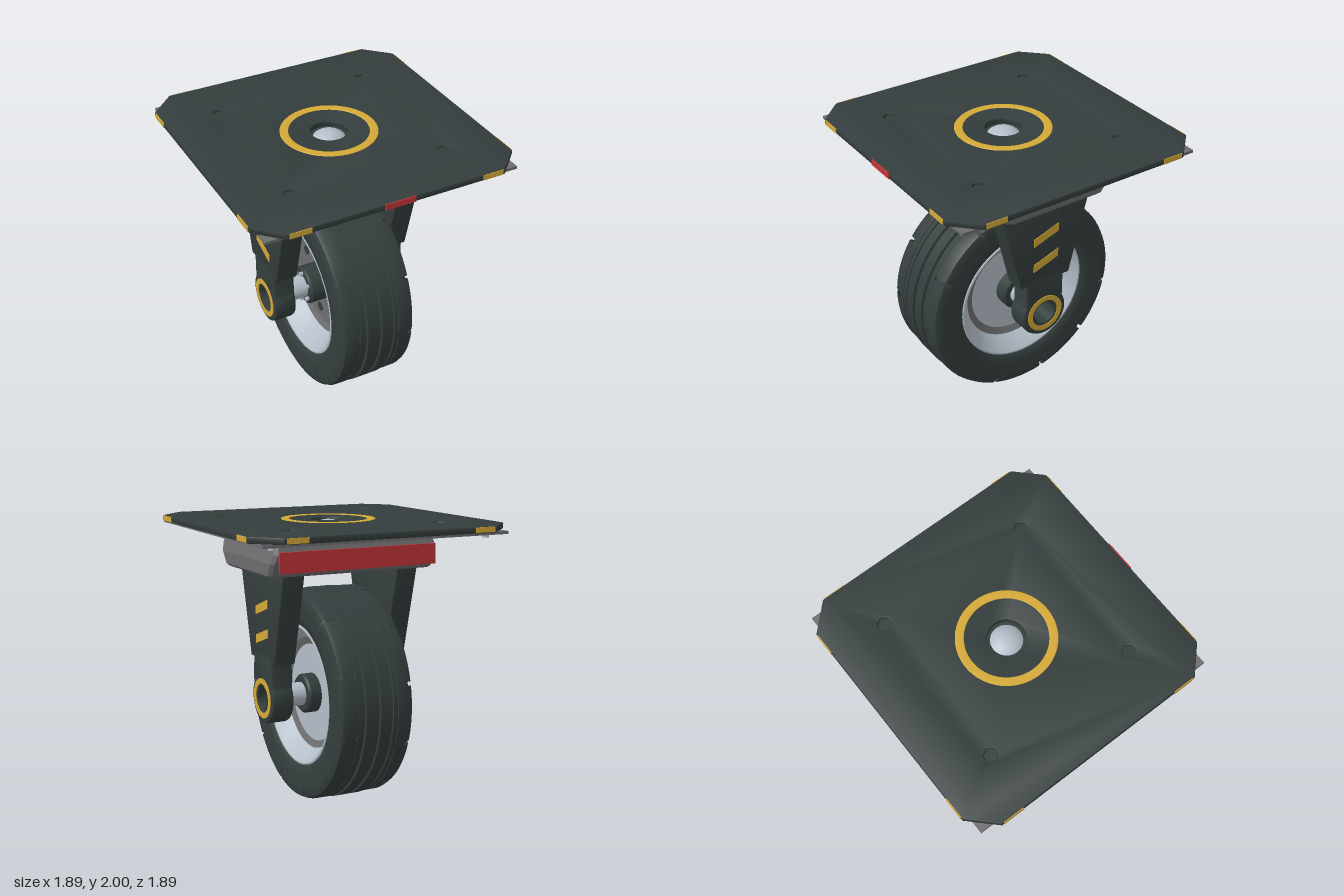
import * as THREE from 'three';
import { toCreasedNormals } from 'three/addons/utils/BufferGeometryUtils.js';
import { ConvexGeometry } from 'three/addons/geometries/ConvexGeometry.js';

const colour = (name, hex, side = THREE.FrontSide) => {
  const m = new THREE.MeshStandardMaterial({ color: hex, side });
  m.name = name;
  return m;
};

export function createModel() {
  const dark = colour('dark slate', 0x343d3d, THREE.DoubleSide);
  const gold = colour('hazard gold', 0xd4a936);
  const red = colour('signal red', 0xc23538);
  const grey = colour('housing grey', 0x6e6e71, THREE.DoubleSide);
  const steel = colour('light steel', 0xb4bec8, THREE.DoubleSide);

  const model = new THREE.Group();
  const AXLE_Y = 0.757;

  const add = (parent, name, geo, mat, x = 0, y = 0, z = 0) => {
    const mesh = new THREE.Mesh(geo, mat);
    mesh.name = name;
    mesh.position.set(x, y, z);
    parent.add(mesh);
    return mesh;
  };
  const group = (parent, name) => {
    const g = new THREE.Group();
    g.name = name;
    parent.add(g);
    return g;
  };
  // Revolves [radius, height] points about y
  const lathe = (pts, segs = 64, start = 0, len = Math.PI * 2) => toCreasedNormals(
    new THREE.LatheGeometry(pts.map(p => new THREE.Vector2(p[0], p[1])), segs, start, len), 0.6);
  // Same, but about the wheel axis x
  const wheelLathe = (...args) => lathe(...args).rotateZ(-Math.PI / 2);
  const polygon = pts => new THREE.Shape(pts.map(p => new THREE.Vector2(p[0], p[1])));
  const hole = (x, y, r) => new THREE.Path().absarc(x, y, r, 0, Math.PI * 2, true);
  const octagon = (h, c) => polygon([[h, -c], [h, c], [c, h], [-c, h], [-h, c], [-h, -c], [-c, -h], [c, -h]]);
  // Extrusion of exact total depth, bevelled inwards
  const extrude = (shape, depth, bevel = 0) => {
    const g = new THREE.ExtrudeGeometry(shape, {
      depth: depth - 2 * bevel, curveSegments: 24, bevelEnabled: bevel > 0,
      bevelThickness: bevel, bevelSize: bevel, bevelOffset: -bevel, bevelSegments: 2
    });
    return toCreasedNormals(g.translate(0, 0, bevel), 0.6);
  };

  // Mounting plate with hex sockets and central opening
  const mount = group(model, 'mountingPlate');
  const plate = octagon(0.94, 0.77);
  plate.holes.push(hole(0, 0, 0.125));
  const corners = [[1, 1], [1, -1], [-1, -1], [-1, 1]];
  for (const [sx, sz] of corners) {
    const hex = new THREE.Path();
    for (let i = 0; i < 6; i++) {
      const a = -i * Math.PI / 3;
      const p = [sx * 0.555 + 0.048 * Math.cos(a), sz * 0.555 + 0.048 * Math.sin(a)];
      i ? hex.lineTo(...p) : hex.moveTo(...p);
    }
    hex.closePath();
    plate.holes.push(hex);
    add(mount, 'socketFloor', new THREE.CylinderGeometry(0.06, 0.06, 0.02, 6), dark, sx * 0.555, 1.965, sz * 0.555);
  }
  add(mount, 'topPlate', extrude(plate, 0.045, 0.01).rotateX(-Math.PI / 2), dark, 0, 1.95, 0);
  add(mount, 'plateUnderside', extrude(octagon(0.88, 0.76), 0.008).rotateX(-Math.PI / 2), dark, 0, 1.943, 0);
  add(mount, 'swivelRing', lathe([[0.335, 1.99], [0.328, 1.998], [0.3, 2], [0.275, 1.998], [0.268, 1.99]]), gold);
  add(mount, 'kingpinDome', new THREE.SphereGeometry(0.16, 40, 10, 0, Math.PI * 2, 0, 0.92), steel, 0, 1.832, 0);

  // Grey frame below the plate, with corner screws
  const frame = polygon([[-0.895, -0.895], [0.895, -0.895], [0.895, 0.895], [-0.895, 0.895]]);
  frame.holes.push(octagon(0.82, 0.66));
  add(mount, 'lowerFrame', extrude(frame, 0.02).rotateX(-Math.PI / 2), grey, 0, 1.93, 0);
  for (const [sx, sz] of corners) {
    add(mount, 'cornerScrew', new THREE.CylinderGeometry(0.026, 0.026, 0.03, 6), steel, sx * 0.785, 1.918, sz * 0.785);
  }

  // Coloured edge markers
  for (let i = 0; i < 4; i++) {
    const edge = group(mount, 'edgeMarkers');
    edge.rotation.y = i * Math.PI / 2;
    for (const s of [-1, 1]) {
      add(edge, 'goldMarker', new THREE.BoxGeometry(0.15, 0.036, 0.008), gold, s * 0.68, 1.973, 0.939);
    }
    if (i === 0) add(edge, 'redMarker', new THREE.BoxGeometry(0.22, 0.042, 0.008), red, 0, 1.973, 0.94);
  }

  // Fork crown: tapered block with chamfered corners
  const crown = [];
  for (const [y, hx, hz] of [[1.66, 0.61, 0.365], [1.675, 0.625, 0.385], [1.76, 0.63, 0.44], [1.82, 0.615, 0.46], [1.935, 0.585, 0.425]]) {
    for (const [sx, sz] of corners) {
      crown.push(new THREE.Vector3(sx * hx, y, sz * (hz - 0.03)), new THREE.Vector3(sx * (hx - 0.02), y, sz * hz));
    }
  }
  add(model, 'forkCrown', new ConvexGeometry(crown), grey);
  for (const s of [-1, 1]) {
    add(model, 'crownStrip', new THREE.BoxGeometry(1.18, 0.14, 0.018), red, 0, 1.77, s * 0.467);
  }

  // Fork legs: profiles drawn in (-z, y) and extruded along x
  const legShape = polygon([[-0.2, 1.03], [0.2, 1.03], [0.365, 1.68], [-0.365, 1.68]]);
  const eyeShape = new THREE.Shape();
  eyeShape.moveTo(0.155, 1.08);
  eyeShape.lineTo(-0.155, 1.08);
  eyeShape.absarc(0, AXLE_Y, 0.18, Math.PI - 0.54, Math.PI * 2 + 0.54, false);
  eyeShape.closePath();
  eyeShape.holes.push(hole(0, AXLE_Y, 0.081));
  const ringShape = new THREE.Shape().absarc(0, AXLE_Y, 0.142, 0, Math.PI * 2, false);
  ringShape.holes.push(hole(0, AXLE_Y, 0.104));
  for (const s of [-1, 1]) {
    const leg = group(model, s > 0 ? 'leftForkLeg' : 'rightForkLeg');
    const slab = (name, shape, x0, x1, bevel, mat) => {
      const g = extrude(shape, x1 - x0, bevel).rotateY(Math.PI / 2);
      add(leg, name, g, mat, s > 0 ? x0 : -x1);
    };
    slab('legPlate', legShape, 0.355, 0.514, 0.012, dark);
    slab('axleEye', eyeShape, 0.352, 0.516, 0.02, dark);
    slab('axleRing', ringShape, 0.512, 0.521, 0, gold);
    for (const y of [1.34, 1.135]) {
      slab('slantedStripe', polygon([[-0.1, y], [0.1, y + 0.07], [0.1, y + 0.132], [-0.1, y + 0.062]]), 0.511, 0.518, 0, gold);
    }
  }

  // Wheel
  const wheel = group(model, 'wheel');
  wheel.position.y = AXLE_Y;
  const half = [[0.755, 0.016], [0.755, 0.094], [0.735, 0.098], [0.735, 0.114], [0.748, 0.118], [0.748, 0.148],
    [0.733, 0.155], [0.728, 0.235], [0.705, 0.258], [0.66, 0.267], [0.58, 0.266], [0.525, 0.256], [0.507, 0.24]];
  const tyre = [...half.map(([r, x]) => [r, -x]).reverse(), [0.735, -0.012], [0.735, 0.012], ...half];
  add(wheel, 'tyre', wheelLathe(tyre, 72), dark);

  // Staggered shoulder blocks, rim and hub on both sides
  const BLOCKS = 11, pitch = Math.PI * 2 / BLOCKS;
  for (const s of [1, -1]) {
    const side = group(wheel, s > 0 ? 'leftWheelSide' : 'rightWheelSide');
    side.rotation.y = s > 0 ? 0 : Math.PI;
    for (let i = 0; i < BLOCKS; i++) {
      const block = wheelLathe([[0.715, 0.15], [0.75, 0.153], [0.749, 0.235], [0.738, 0.262], [0.705, 0.275], [0.64, 0.267]],
        7, i * pitch + (s > 0 ? 0.1 : 0.35), pitch * 0.93);
      add(side, 'shoulderBlock', block, dark);
    }
    const d = s > 0 ? 0.12 : 0.07;
    add(side, 'rimDish', wheelLathe([[0.509, 0.22], [0.507, 0.25], [0.495, 0.252], [0.475, 0.235], [0.42, d + 0.045], [0.4, d + 0.02]]), steel);
    add(side, 'rimStep', wheelLathe([[0.4, d + 0.02], [0.35, d]]), grey);
    add(side, 'rimDisc', wheelLathe([[0.35, d], [0.08, d]]), s > 0 ? steel : grey);
    add(side, 'hub', wheelLathe([[0.14, d], [0.14, 0.2], [0.125, 0.215], [0.08, 0.215]], 40), dark);
    if (s < 0) {
      // Bolted flange and lightening holes
      for (let i = 0; i < 6; i++) {
        const a = i * Math.PI / 3;
        const bolt = new THREE.CylinderGeometry(0.016, 0.016, 0.03, 6).rotateZ(Math.PI / 2);
        add(side, 'hubBolt', bolt, steel, 0.225, 0.108 * Math.cos(a), 0.108 * Math.sin(a));
        const spot = new THREE.CylinderGeometry(0.035, 0.035, 0.006, 20).rotateZ(Math.PI / 2);
        add(side, 'discHole', spot, dark, d + 0.002, 0.25 * Math.cos(a), 0.25 * Math.sin(a));
      }
    }
  }

  // Hollow axle
  add(wheel, 'axleTube', wheelLathe([[0.084, -0.37], [0.084, 0.37]], 40), steel);
  add(wheel, 'axleBore', wheelLathe([[0.08, -0.512], [0.08, 0.512]], 40), dark);

  return model;
}
